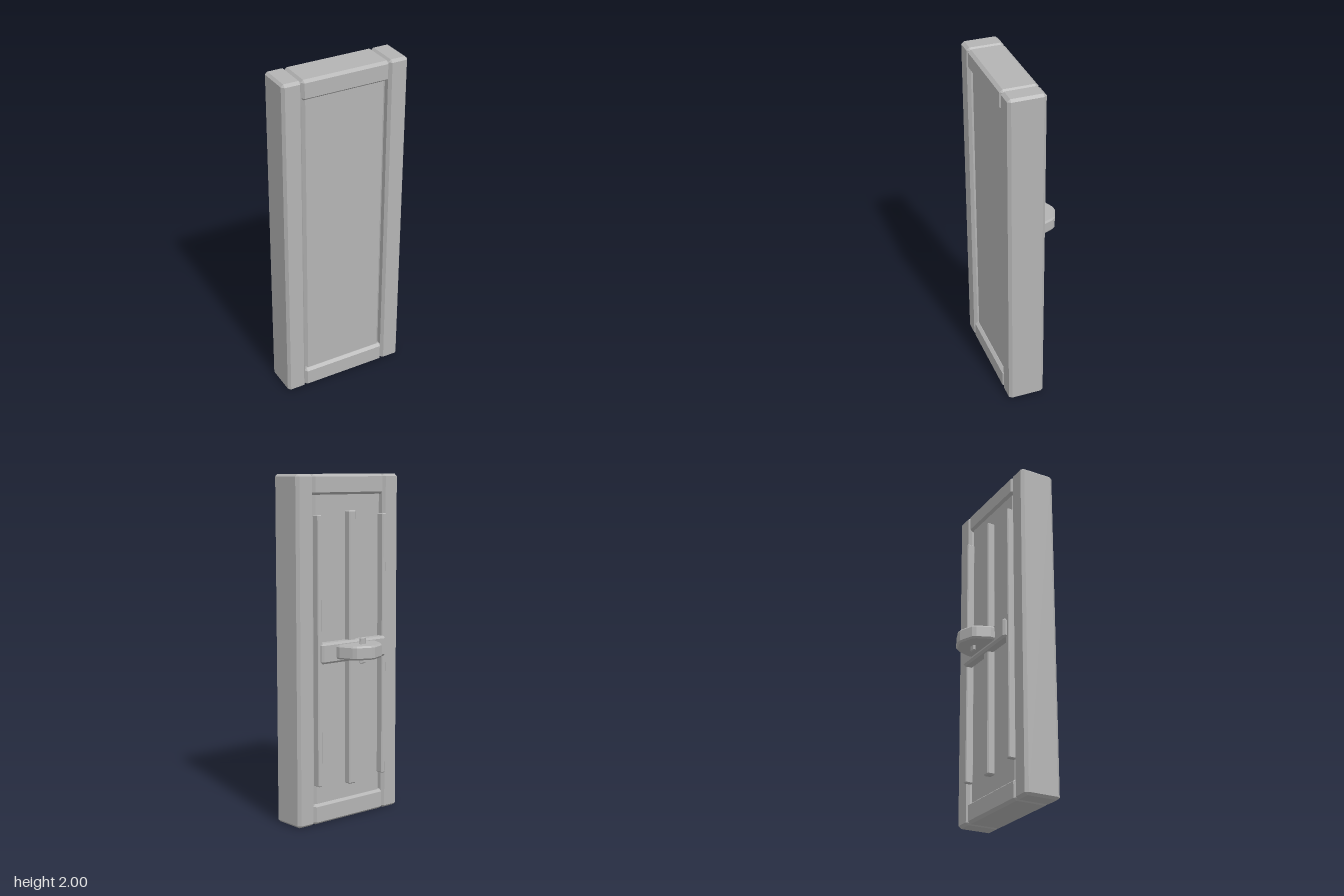
import * as THREE from 'three';
import { ConvexGeometry } from 'three/addons/geometries/ConvexGeometry.js';

// Box between two corners, with every edge cut by a flat chamfer
function chamferBox(x, y, z, c) {
  const points = [];
  const [cx, cy, cz] = Array.isArray(c) ? c : [c, c, c];
  for (const i of [0, 1]) for (const j of [0, 1]) for (const k of [0, 1]) {
    const px = x[i], py = y[j], pz = z[k];
    const dx = i ? -cx : cx, dy = j ? -cy : cy, dz = k ? -cz : cz;
    points.push(
      new THREE.Vector3(px, py + dy, pz + dz),
      new THREE.Vector3(px + dx, py, pz + dz),
      new THREE.Vector3(px + dx, py + dy, pz));
  }
  return new ConvexGeometry(points);
}

export function createModel() {
  const model = new THREE.Group();
  model.name = 'doorPanel';
  const grey = new THREE.MeshStandardMaterial({ color: 0xb4b4b4 });
  grey.name = 'plainGrey';
  const add = (name, geometry) => {
    const mesh = new THREE.Mesh(geometry, grey);
    mesh.name = name;
    model.add(mesh);
    return mesh;
  };

  // Frame: two full-height posts with a rail at each end
  const depth = [-0.007, 0.208];
  const edge = [0.014, 0.014, 0.018];
  add('leftPost', chamferBox([0.262, 0.378], [0, 2], depth, edge));
  add('rightPost', chamferBox([-0.378, -0.262], [0, 2], depth, edge));
  add('topRail', chamferBox([-0.264, 0.264], [1.885, 2], depth, edge));
  add('bottomRail', chamferBox([-0.264, 0.264], [0, 0.12], depth, edge));

  // Recessed infill panel, its upper and lower ends inside the rails
  add('infillPanel', chamferBox([-0.257, 0.257], [0.07, 1.93], [0.01, 0.187], 0.02));

  // Vertical ribs on the back
  const ribDepth = [-0.035, 0.014];
  add('centreRib', chamferBox([-0.026, 0.026], [0.207, 1.798], ribDepth, 0.007));
  add('leftRib', chamferBox([0.228, 0.258], [0.23, 1.775], ribDepth, 0.005));
  add('rightRib', chamferBox([-0.258, -0.228], [0.23, 1.775], ribDepth, 0.005));

  // Horizontal bracket plate across the ribs
  add('bracketPlate', chamferBox([-0.242, 0.242], [0.942, 1.06], [-0.056, 0.01], 0.012));

  // Faceted shelf standing out from the plate
  const half = [[0.142, -0.03], [0.142, -0.08], [0.11, -0.157], [0.095, -0.177], [0.013, -0.21]];
  const outline = [...half, ...half.map(([x, z]) => [-x, z]).reverse()];
  const shape = new THREE.Shape(outline.map(([x, z]) => new THREE.Vector2(x, -z)));
  const shelf = new THREE.ExtrudeGeometry(shape, {
    depth: 0.06, bevelEnabled: true, bevelSegments: 1,
    bevelThickness: 0.01, bevelSize: 0.008, bevelOffset: -0.008,
  });
  shelf.rotateX(-Math.PI / 2).translate(0, 0.974, 0);
  add('shelf', shelf);

  // Small flat pin through the shelf
  add('pin', chamferBox([-0.021, 0.021], [0.932, 1.082], [-0.126, -0.11], 0.005));

  return model;
}
